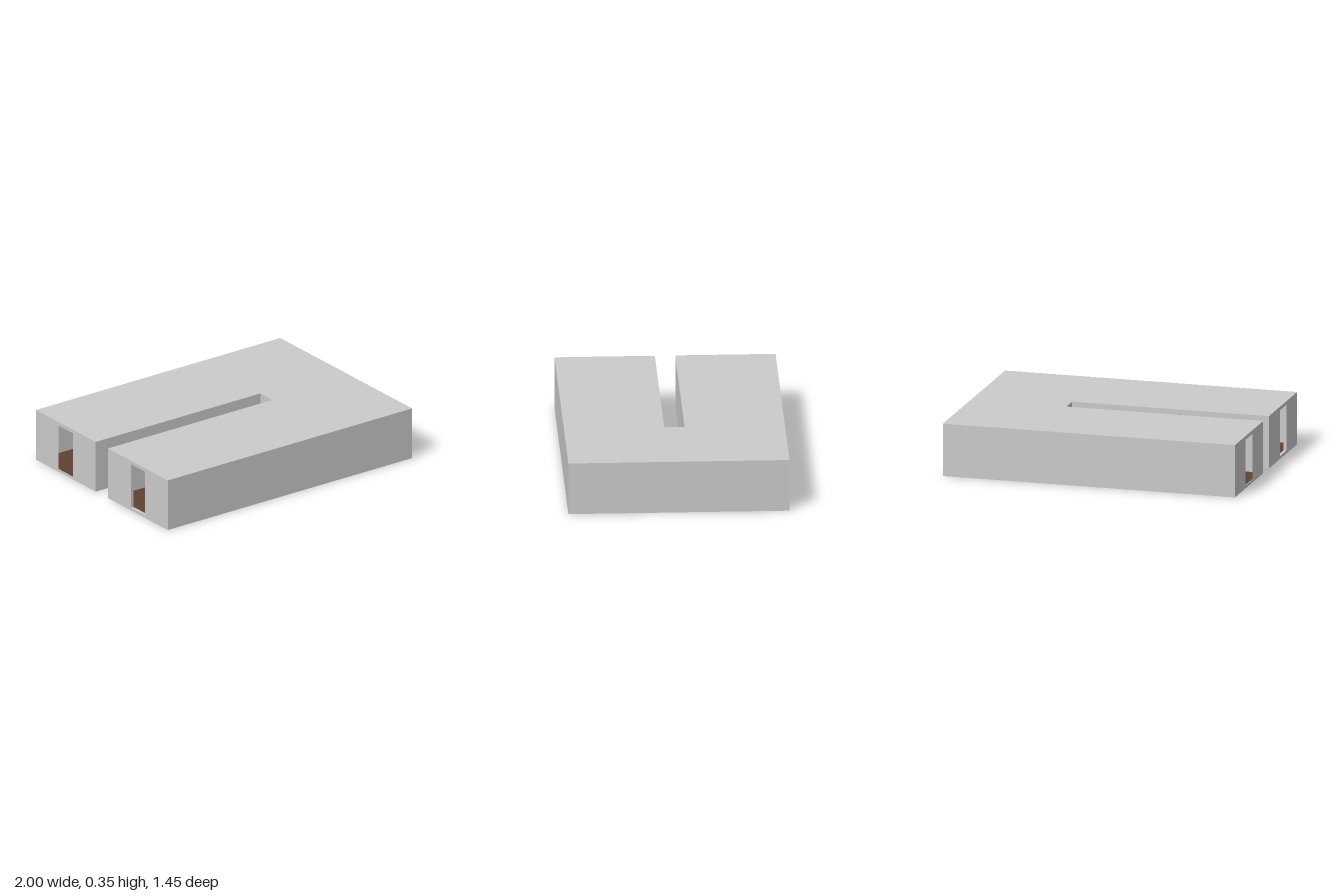
import * as THREE from 'three';

const W = 1, D = 0.727;           // half length, half depth
const H = 0.355;                  // height
const SLOT = 0.067, SLOT_END = 0.347;
const T = 0.02;                   // wall and roof thickness
const SLAB = 0.006;               // base slab thickness

const grey = new THREE.MeshStandardMaterial({ color: 0xcccccc, flatShading: true });
const brown = new THREE.MeshStandardMaterial({ color: 0x5e4135, flatShading: true });

const toShape = (pts) => new THREE.Shape(pts.map(([x, y]) => new THREE.Vector2(x, y)));

// Plan outline of the U, moved inward by t everywhere except at the open ends
const outline = (t) => [
  [-W, -D + t], [W - t, -D + t], [W - t, D - t], [-W, D - t],
  [-W, SLOT + t], [SLOT_END + t, SLOT + t], [SLOT_END + t, -SLOT - t], [-W, -SLOT - t],
];

// Extrude a plan shape upward from y0 to y1
function plan(name, pts, y0, y1, material) {
  const geo = new THREE.ExtrudeGeometry(toShape(pts), { depth: y1 - y0, bevelEnabled: false });
  geo.rotateX(-Math.PI / 2);
  const mesh = new THREE.Mesh(geo, material);
  mesh.position.y = y0;
  mesh.name = name;
  return mesh;
}

export function createModel() {
  const model = new THREE.Group();
  model.name = 'building';
  const out = outline(0), inn = outline(T);

  // Base slab, roof and brown floor covering
  model.add(plan('baseSlab', out, 0, SLAB, grey));
  model.add(plan('roof', out, H - T, H, grey));
  const floorPts = inn.map(([x, y]) => [x === -W ? -W + T : x, y]);
  model.add(plan('floor', floorPts, SLAB, SLAB + 0.003, brown));

  // Outer walls and the walls around the slot, as thin bands
  const outer = [...out.slice(0, 4), ...inn.slice(0, 4).reverse()];
  const inner = [...out.slice(4), ...inn.slice(4).reverse()];
  model.add(plan('outerWalls', outer, SLAB, H - T, grey));
  model.add(plan('slotWalls', inner, SLAB, H - T, grey));

  // End walls, each with a doorway
  for (const s of [-1, 1]) {
    const rect = (a, b, y0, y1) => [[s * a, y0], [s * b, y0], [s * b, y1], [s * a, y1]];
    const shape = toShape(rect(SLOT + T, D - T, SLAB, H - T));
    shape.holes.push(toShape(rect(0.32, 0.475, 0.02, 0.33)));
    const geo = new THREE.ExtrudeGeometry(shape, { depth: T, bevelEnabled: false });
    geo.rotateY(-Math.PI / 2);
    const wall = new THREE.Mesh(geo, grey);
    wall.position.x = -W + T;
    wall.name = s > 0 ? 'frontDoorWall' : 'backDoorWall';
    model.add(wall);
  }

  // Small pegs set high in the slot wall
  for (const x of [0.01, -0.39, -0.79]) {
    const peg = new THREE.Mesh(new THREE.BoxGeometry(0.01, 0.01, T + 0.004), brown);
    peg.position.set(x, 0.315, SLOT + T / 2);
    peg.name = 'wallPeg';
    model.add(peg);
  }
  return model;
}
